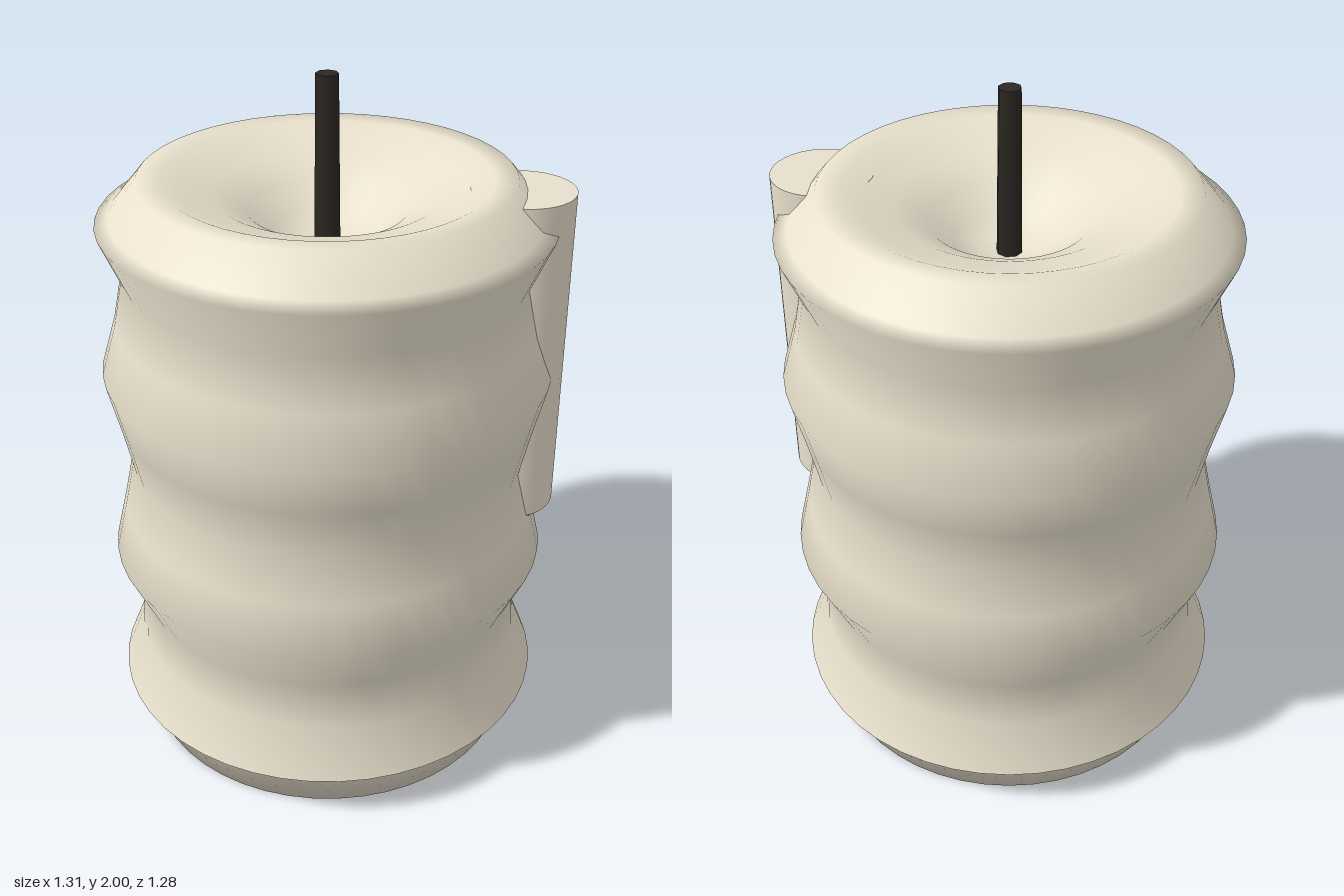
import * as THREE from 'three';

const CENTRE_X = -0.015;
const wax = new THREE.MeshStandardMaterial({ color: 0xe8e0cc });
const charred = new THREE.MeshStandardMaterial({ color: 0x2b2722 });

// Turns a list of [radius, height] pairs into a solid of revolution.
function turned(name, profile, material, segments, x) {
  const points = profile.map(([r, y]) => new THREE.Vector2(r, y));
  const mesh = new THREE.Mesh(new THREE.LatheGeometry(points, segments), material);
  mesh.name = name;
  mesh.position.x = x;
  return mesh;
}

export function createModel() {
  const candle = new THREE.Group();
  candle.name = 'candle';

  // Tapered foot with its underside
  candle.add(turned('foot', [
    [0, 0], [0.56, 0], [0.61, 0.125], [0.64, 0.145],
  ], wax, 48, CENTRE_X));

  // Ribbed body, bevelled shoulder and the melted hollow around the wick
  candle.add(turned('body', [
    [0.64, 0.145], [0.58, 0.295], [0.572, 0.44], [0.64, 0.59],
    [0.605, 0.74], [0.574, 0.885], [0.605, 1.03], [0.64, 1.175],
    [0.597, 1.32], [0.568, 1.465], [0.63, 1.61], [0.592, 1.63],
    [0.513, 1.725], [0.45, 1.722], [0.4, 1.7], [0.31, 1.675],
    [0.22, 1.63], [0.15, 1.57], [0.08, 1.535], [0, 1.525],
  ], wax, 48, CENTRE_X));

  // Wax run down the left side: flat top, tapered lower end
  candle.add(turned('waxDrip', [
    [0, 0.61], [0.09, 0.69], [0.143, 0.74], [0.143, 0.74],
    [0.143, 1.697], [0.143, 1.697], [0, 1.697],
  ], wax, 32, 0.512));

  // Wick
  const wick = new THREE.Mesh(new THREE.CylinderGeometry(0.031, 0.036, 0.5, 8), charred);
  wick.name = 'wick';
  wick.position.set(CENTRE_X, 1.75, 0);
  candle.add(wick);

  return candle;
}
